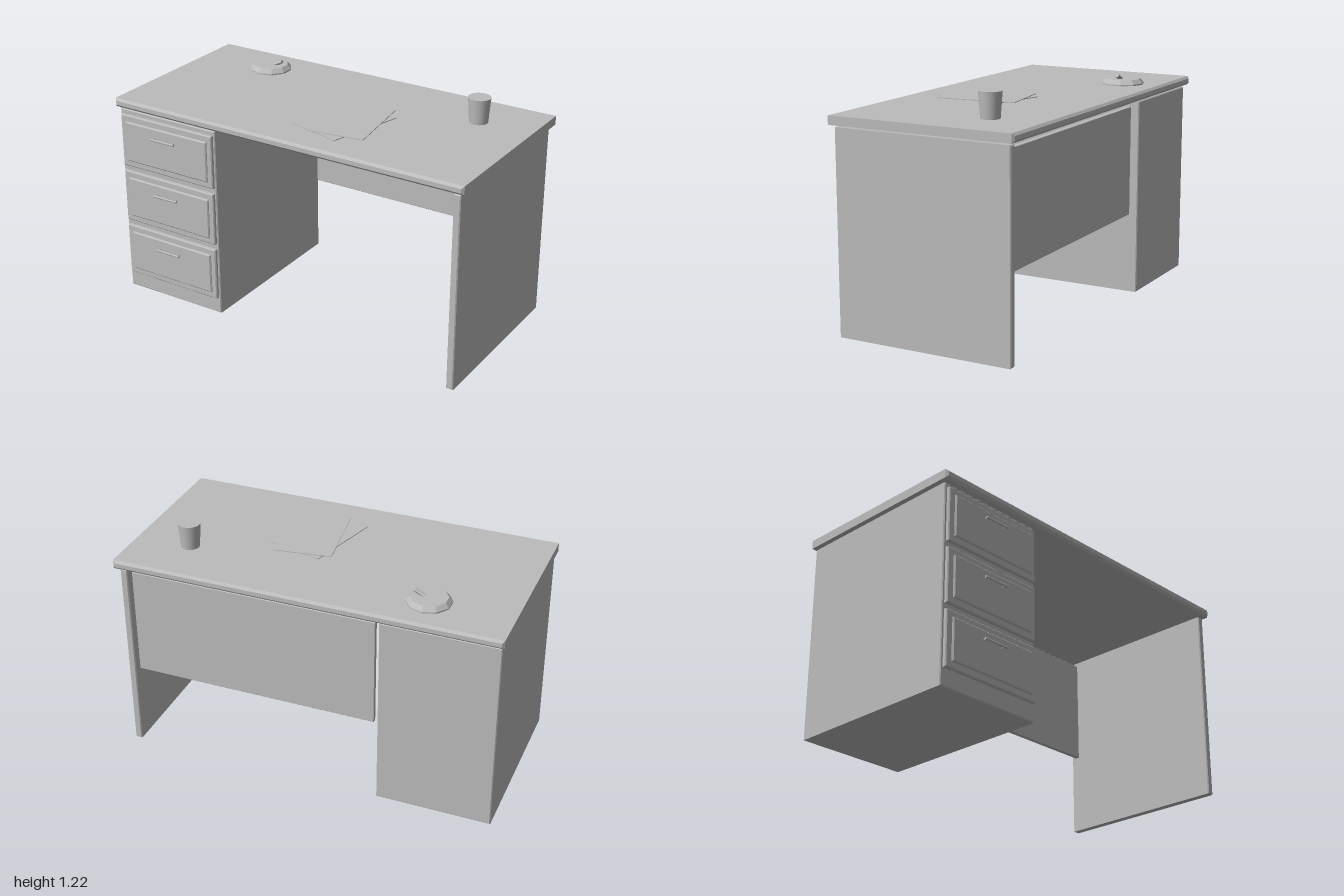
import * as THREE from 'three';

const gray = new THREE.MeshStandardMaterial({ color: 0xbcbcbc });
gray.name = 'plain gray';

// Box given by its min and max corners, with chamfered edges
function bevelBox(name, [x0, y0, z0], [x1, y1, z1], b) {
  const w = (x1 - x0) / 2 - b, h = (y1 - y0) / 2 - b, d = z1 - z0 - 2 * b;
  const shape = new THREE.Shape([
    new THREE.Vector2(-w, -h), new THREE.Vector2(w, -h),
    new THREE.Vector2(w, h), new THREE.Vector2(-w, h),
  ]);
  const geo = new THREE.ExtrudeGeometry(shape, {
    depth: d, bevelEnabled: true, bevelThickness: b, bevelSize: b, bevelSegments: 1,
  });
  geo.translate((x0 + x1) / 2, (y0 + y1) / 2, z0 + b);
  return part(name, geo);
}

function part(name, geo, x = 0, y = 0, z = 0) {
  const mesh = new THREE.Mesh(geo, gray);
  mesh.name = name;
  mesh.position.set(x, y, z);
  return mesh;
}

function faceted(geo) {
  const g = geo.toNonIndexed();
  g.computeVertexNormals();
  return g;
}

// Drawer front with raised panel and bar handle
function drawer(yLow, yHigh) {
  const g = new THREE.Group();
  g.name = 'drawer';
  g.add(bevelBox('drawerFront', [-0.973, yLow, 0.455], [-0.4, yHigh, 0.478], 0.005));
  g.add(bevelBox('drawerPanel', [-0.938, yLow + 0.033, 0.47], [-0.428, yHigh - 0.033, 0.487], 0.006));
  const y = yHigh - 0.086;
  const bar = part('handleBar', new THREE.CylinderGeometry(0.006, 0.006, 0.145, 8), -0.687, y, 0.507);
  bar.rotation.z = Math.PI / 2;
  g.add(bar);
  for (const x of [-0.747, -0.627]) {
    const post = part('handlePost', new THREE.CylinderGeometry(0.004, 0.004, 0.024, 8), x, y, 0.495);
    post.rotation.x = Math.PI / 2;
    g.add(post);
  }
  return g;
}

export function createModel() {
  const desk = new THREE.Group();
  desk.name = 'desk';

  // Main structure
  desk.add(bevelBox('deskTop', [-1, 1.04, -0.511], [1, 1.086, 0.487], 0.012));
  desk.add(bevelBox('drawerCabinet', [-0.987, 0, -0.482], [-0.39, 1.028, 0.46], 0.005));
  desk.add(bevelBox('sidePanel', [0.938, 0, -0.482], [0.975, 1.028, 0.46], 0.005));
  desk.add(bevelBox('backPanel', [-0.36, 0.43, -0.45], [0.93, 1.003, -0.425], 0.002));

  // Three drawers
  for (const [low, high] of [[0.09, 0.374], [0.404, 0.689], [0.719, 1.004]]) desk.add(drawer(low, high));

  // Cup
  desk.add(part('cup', new THREE.CylinderGeometry(0.057, 0.047, 0.131, 24), 0.71, 1.15, -0.228));

  // Ten-sided dish
  const profile = [[0, 0], [0.112, 0], [0.112, 0.008], [0.093, 0.03], [0, 0.03]]
    .map(([r, y]) => new THREE.Vector2(r, y));
  const dish = part('dish', faceted(new THREE.LatheGeometry(profile, 10)), -0.575, 1.085, -0.303);
  desk.add(dish);

  // Small stub leaning on the dish
  const stub = part('stub', faceted(new THREE.CylinderGeometry(0.011, 0.011, 0.06, 6)), -0.528, 1.124, -0.303);
  stub.rotation.z = -1.1;
  desk.add(stub);

  // Two overlapping sheets of paper
  for (const [x, y, z, turn] of [[0.152, 1.088, 0.115, -0.26], [0.183, 1.093, 0.1, 0.14]]) {
    const sheet = part('paperSheet', new THREE.BoxGeometry(0.297, 0.004, 0.42), x, y, z);
    sheet.rotation.y = turn;
    desk.add(sheet);
  }
  return desk;
}
